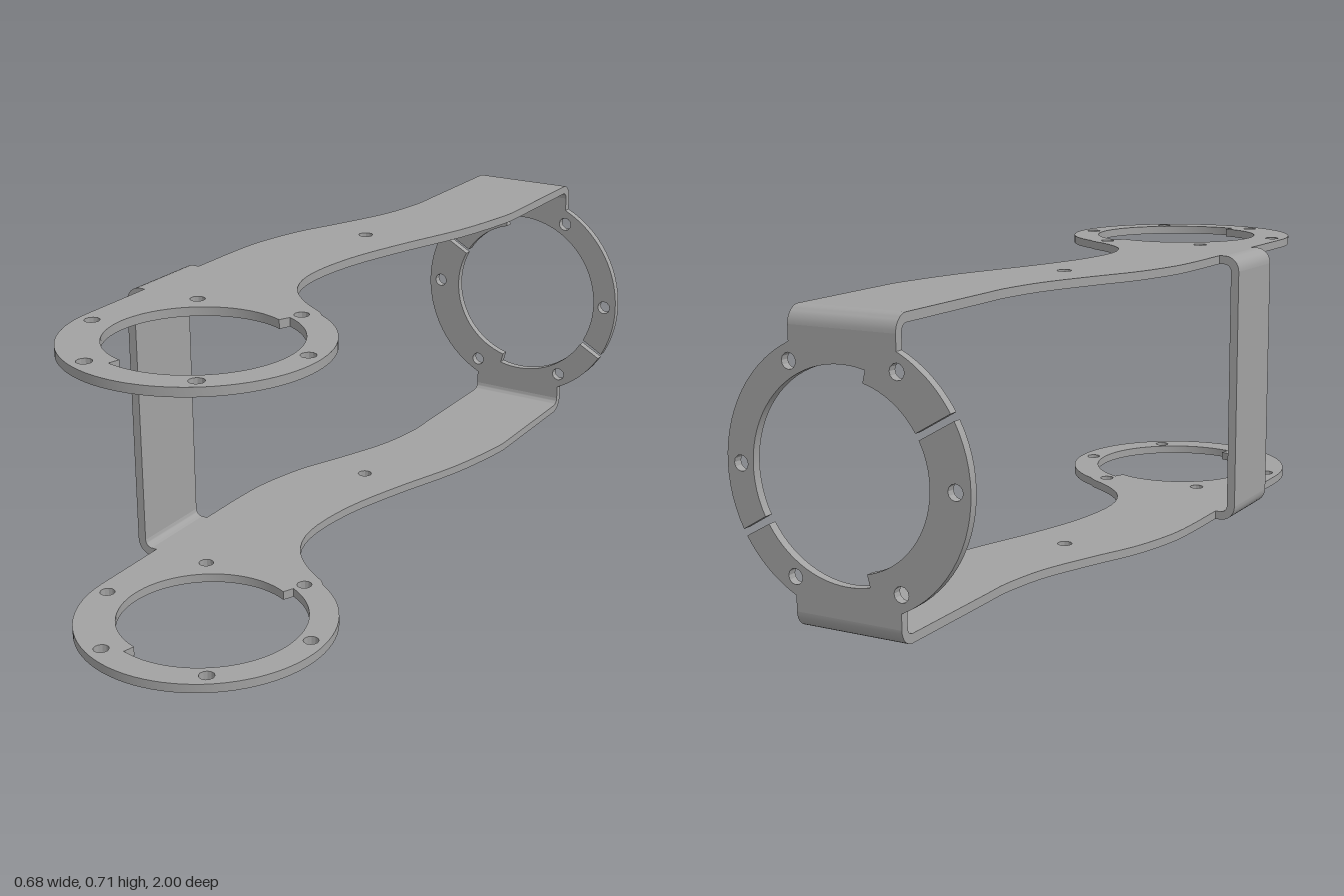
import * as THREE from 'three';
import { toCreasedNormals } from 'three/addons/utils/BufferGeometryUtils.js';

const T = 0.022;                 // sheet thickness
const H = 0.712;                 // overall height
const CX = 0.026;                // ring centre in x
const RO = 0.311, RS = 0.212, RL = 0.241; // outer, small inner, large inner radius
const NECK = 0.1365;             // half width of the arm
const BEND = 0.04;               // outer bend radius
const rad = THREE.MathUtils.degToRad;

// Points along an arc, angles in degrees
function arc(cx, cy, r, a0, a1, n = 32) {
  return Array.from({ length: n + 1 }, (_, i) => {
    const a = rad(a0 + (a1 - a0) * i / n);
    return new THREE.Vector2(cx + r * Math.cos(a), cy + r * Math.sin(a));
  });
}
const v = (x, y) => new THREE.Vector2(x, y);
const spline = (pts) => new THREE.SplineCurve(pts.map(([x, y]) => v(x, y))).getPoints(28);
const screwHole = (x, y) => new THREE.Path(arc(x, y, 0.0185, 0, 360, 12).slice(0, -1));

function sheet(shape, depth) {
  return new THREE.ExtrudeGeometry(shape, { depth, bevelEnabled: false });
}

// Arm outline seen from above (x, -z), ending in a mounting ring
function armGeometry() {
  const cy = -0.689;
  const outline = [
    v(CX + NECK, 1 - BEND),
    ...spline([[0.162, 0.64], [0.157, 0.57], [0.12, 0.39], [0.05, 0.18], [0.002, 0],
      [-0.01, -0.16], [0.02, -0.27], [0.085, -0.347], [0.165, -0.402]]),
    ...arc(CX, cy, RO, 60, -180, 56),
    v(-0.285, -0.47), v(BEND - 0.34, -0.47), v(BEND - 0.34, -0.25), v(-0.285, -0.25),
    ...spline([[-0.285, -0.13], [-0.278, 0], [-0.245, 0.145], [-0.19, 0.28],
      [-0.135, 0.43], [-0.112, 0.56], [-0.1105, 0.64]]),
    v(CX - NECK, 1 - BEND),
  ];
  const shape = new THREE.Shape(outline);
  // stepped bore
  shape.holes.push(new THREE.Path([
    ...arc(CX, cy, RS, 65, 255, 40), ...arc(CX, cy, RL, 255, 425, 36)]));
  for (let i = 0; i < 6; i++) {
    const a = rad(5.5 + 60 * i);
    shape.holes.push(screwHole(CX + 0.274 * Math.cos(a), cy + 0.274 * Math.sin(a)));
  }
  shape.holes.push(screwHole(-0.074, 0.213));
  return sheet(shape, T).rotateX(-Math.PI / 2);
}

// Half of the split rear ring with its neck; up = 1 for the upper half, -1 for the lower
function rearHalfGeometry(up) {
  const cy = H / 2, a0 = up > 0 ? -30 : 150, mid = 90 * up + (up > 0 ? 0 : 360);
  const neckAngle = THREE.MathUtils.radToDeg(Math.asin(NECK / RO));
  const slitO = 1.5, slitI = 2.1;
  const step = up > 0 ? 104 : 256;
  const neckY = cy + up * (cy - BEND);
  const inner = up > 0
    ? [...arc(CX, cy, RS, 150 - slitI, step, 12), ...arc(CX, cy, RL, step, -30 + slitI, 28)]
    : [...arc(CX, cy, RL, 330 - slitI, step, 16), ...arc(CX, cy, RS, step, 150 + slitI, 24)];
  const shape = new THREE.Shape([
    ...arc(CX, cy, RO, a0 + slitO, mid - neckAngle, 20),
    v(CX + up * NECK, neckY), v(CX - up * NECK, neckY),
    ...arc(CX, cy, RO, mid + neckAngle, a0 + 180 - slitO, 20),
    ...inner,
  ]);
  for (let a = up > 0 ? 0 : 180, i = 0; i < 3; i++, a += 60) {
    shape.holes.push(screwHole(CX + 0.274 * Math.cos(rad(a)), cy + 0.274 * Math.sin(rad(a))));
  }
  return sheet(shape, T).translate(0, 0, -1);
}

// Quarter bend of the sheet, extruded by width
function bendGeometry(cx, cy, a0, width) {
  return sheet(new THREE.Shape([
    ...arc(cx, cy, BEND, a0, a0 + 90, 8), ...arc(cx, cy, BEND - T, a0 + 90, a0, 8)]), width);
}

export function createModel() {
  const group = new THREE.Group();
  group.name = 'armBracket';
  const metal = new THREE.MeshStandardMaterial({ color: 0xa2a2a2 });
  metal.name = 'grey metal';
  const add = (name, geometry) => {
    const mesh = new THREE.Mesh(toCreasedNormals(geometry, 0.5), metal);
    mesh.name = name;
    group.add(mesh);
  };

  for (const up of [-1, 1]) {
    const side = up > 0 ? 'upper' : 'lower';
    const bendY = up > 0 ? H - BEND : BEND;
    add(side + 'Arm', armGeometry().translate(0, up > 0 ? H - T : 0, 0));
    add(side + 'RearRing', rearHalfGeometry(up));
    // bend from arm into rear ring
    add(side + 'RearBend', bendGeometry(1 - BEND, bendY, up > 0 ? 0 : -90, 2 * NECK)
      .rotateY(Math.PI / 2).translate(CX - NECK, 0, 0));
    // bend from arm tab into side strap
    add(side + 'StrapBend', bendGeometry(BEND - 0.34, bendY, up > 0 ? 90 : 180, 0.22)
      .translate(0, 0, 0.25));
  }

  // upright strap joining the two arms
  add('sideStrap', new THREE.BoxGeometry(T, H - 2 * BEND, 0.22)
    .toNonIndexed().translate(-0.34 + T / 2, H / 2, 0.36));
  return group;
}
